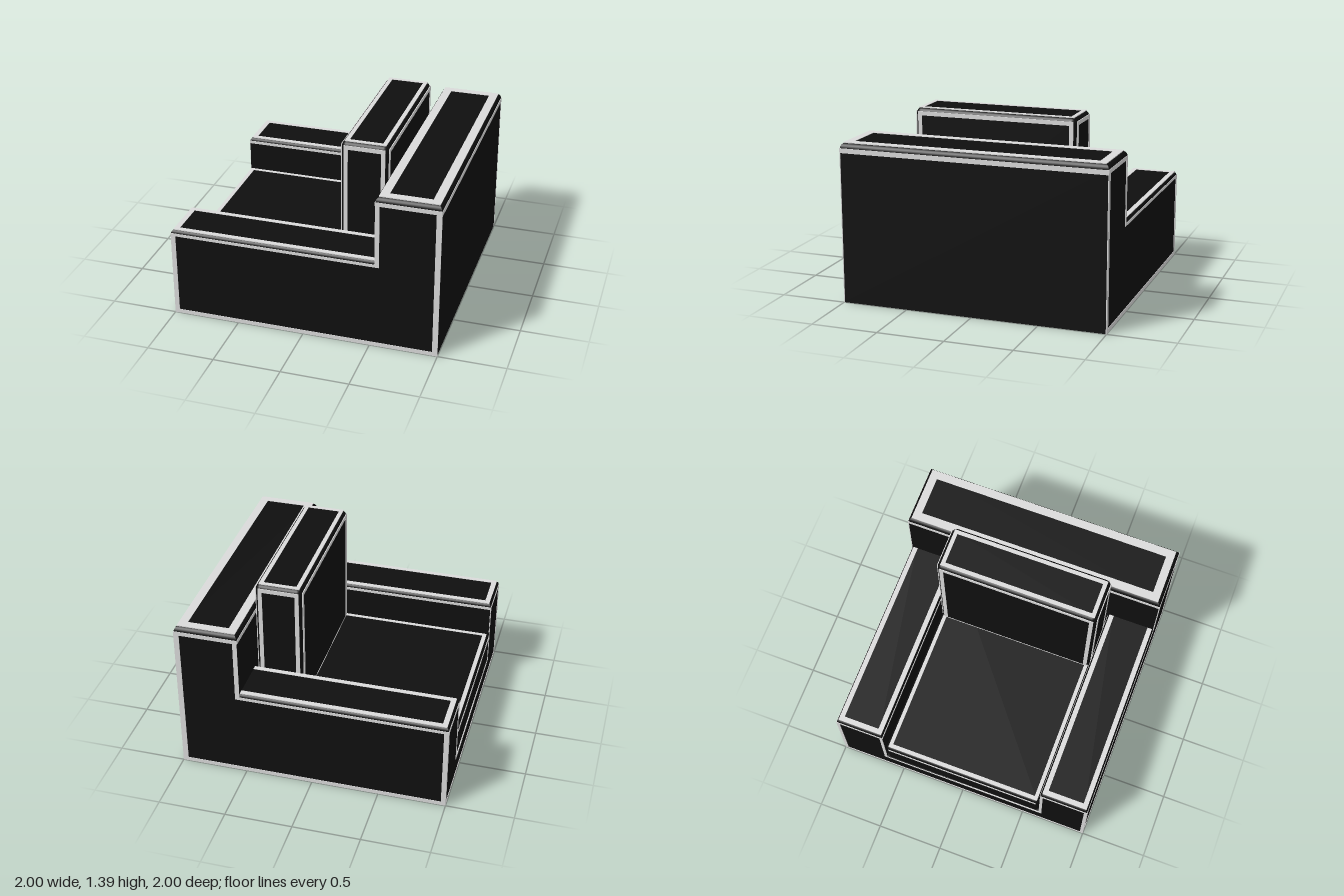
import * as THREE from 'three';
import { RoundedBoxGeometry } from 'three/addons/geometries/RoundedBoxGeometry.js';

const black = new THREE.MeshStandardMaterial({ color: 0x0f0f0f });
black.name = 'blackUpholstery';
const grey = new THREE.MeshStandardMaterial({ color: 0xdadada });
grey.name = 'lightGreyTrim';

const T = 0.006; // trim thickness, half of it sunk into the surface

function add(parent, name, geometry, material, x = 0, y = 0, z = 0) {
  const mesh = new THREE.Mesh(geometry, material);
  mesh.name = name;
  mesh.position.set(x, y, z);
  parent.add(mesh);
  return mesh;
}

// Box with sharp upright corners whose top edges are rounded with radius r
function softTopBox(w, h, d, r) {
  const n = 7;
  const g = new THREE.BoxGeometry(w, h, d, 1, n, 1);
  const p = g.attributes.position;
  for (let i = 0; i < p.count; i++) {
    const row = Math.round((p.getY(i) / h + 0.5) * n);
    if (row === 0) { p.setY(i, 0); continue; }
    const a = ((row - 1) / (n - 1)) * Math.PI / 2;
    const inset = r * (1 - Math.cos(a));
    p.setXYZ(i,
      p.getX(i) - Math.sign(p.getX(i)) * inset,
      h - r + r * Math.sin(a),
      p.getZ(i) - Math.sign(p.getZ(i)) * inset);
  }
  g.computeVertexNormals();
  return g;
}

const points = (list) => list.map(([x, y]) => new THREE.Vector2(x, y));

// Thin flat outline facing along the given axis
function outline(outer, inner, axis = 'z') {
  const shape = new THREE.Shape(points(outer));
  shape.holes.push(new THREE.Path(points(inner)));
  const g = new THREE.ExtrudeGeometry(shape, { depth: T, bevelEnabled: false });
  g.translate(0, 0, -T / 2);
  if (axis === 'x') g.rotateY(Math.PI / 2);
  if (axis === 'y') g.rotateX(-Math.PI / 2);
  return g;
}

const rect = (w, h) => [[-w / 2, -h / 2], [w / 2, -h / 2], [w / 2, h / 2], [-w / 2, h / 2]];
const rectOutline = (w, h, tx, ty, axis) => outline(rect(w, h), rect(w - 2 * tx, h - 2 * ty), axis);

export function createModel() {
  const chair = new THREE.Group();
  chair.name = 'armchair';
  const E = 0.997; // body half size, leaving room for the trim

  // Base below the seat
  add(chair, 'base', new THREE.BoxGeometry(1.597, 0.17, 1.3), black, -0.1985, 0.085, 0);

  // Tall backrest block
  add(chair, 'backrest', softTopBox(E - 0.53, 1.197, 2 * E, 0.04), black, (E + 0.53) / 2, 0, 0);
  add(chair, 'backrestTopTrim', rectOutline(0.43, 1.95, 0.063, 0.06, 'y'), grey, 0.764, 1.197, 0);
  add(chair, 'backrestRearTrim', new THREE.BoxGeometry(T, 0.035, 2 * E), grey, E, 1.14, 0);
  add(chair, 'backrestFrontTrim', new THREE.BoxGeometry(T, 0.03, 2 * E), grey, 0.53, 1.145, 0);

  // Arms and the outlines of the two outer sides
  const sideOuter = [[-1, 0], [1, 0], [1, 1.16], [0.53, 1.16], [0.53, 0.67], [-1, 0.67]];
  const sideInner = [[-0.965, 0.03], [0.96, 0.03], [0.96, 1.13], [0.563, 1.13], [0.563, 0.648], [-0.965, 0.648]];
  for (const s of [-1, 1]) {
    const side = s > 0 ? 'left' : 'right';
    const armZ = s * (E + 0.63) / 2;
    add(chair, side + 'Arm', softTopBox(1.597, 0.697, E - 0.63, 0.03), black, -0.1985, 0, armZ);
    add(chair, side + 'ArmTopTrim', rectOutline(1.56, 0.345, 0.038, 0.036, 'y'), grey, -0.202, 0.697, armZ);
    add(chair, side + 'ArmInnerTrim', new THREE.BoxGeometry(1.527, 0.022, T), grey, -0.2335, 0.659, s * 0.63);
    add(chair, side + 'SideTrim', outline(sideOuter, sideInner), grey, 0, 0, s * E);
  }

  // U-shaped outline across the arm ends and base
  const uOuter = [[-1, 0], [1, 0], [1, 0.67], [0.63, 0.67], [0.63, 0.17], [-0.63, 0.17], [-0.63, 0.67], [-1, 0.67]];
  const uInner = [[-0.975, 0.02], [0.975, 0.02], [0.975, 0.648], [0.652, 0.648],
    [0.652, 0.15], [-0.652, 0.15], [-0.652, 0.648], [-0.975, 0.648]];
  add(chair, 'armEndTrim', outline(uOuter, uInner, 'x'), grey, -E, 0, 0);

  // Seat cushion
  add(chair, 'seatCushion', new RoundedBoxGeometry(1.527, 0.26, 1.245, 4, 0.03), black, -0.2335, 0.3, 0);
  add(chair, 'seatTopTrim', rectOutline(1.48, 1.21, 0.03, 0.028, 'y'), grey, -0.243, 0.43, 0);
  add(chair, 'seatFrontTrim', new THREE.BoxGeometry(T, 0.025, 1.2), grey, -E, 0.385, 0);

  // Loose back cushion with trim along each face
  const cushion = new THREE.Group();
  cushion.name = 'backCushion';
  cushion.position.set(0.342, 0.885, 0);
  chair.add(cushion);
  const [w, h, d] = [0.348, 1.01, 1.234];
  add(cushion, 'cushionBody', new RoundedBoxGeometry(w, h, d, 5, 0.04), black);
  add(cushion, 'cushionTopTrim', rectOutline(w - 0.045, d - 0.045, 0.03, 0.03, 'y'), grey, 0, h / 2, 0);
  for (const s of [-1, 1]) {
    add(cushion, 'cushionEndTrim', rectOutline(w - 0.045, h - 0.05, 0.03, 0.03, 'z'), grey, 0, 0, s * d / 2);
    add(cushion, 'cushionFaceTrim', rectOutline(d - 0.045, h - 0.05, 0.03, 0.03, 'x'), grey, s * w / 2, 0, 0);
  }
  return chair;
}
